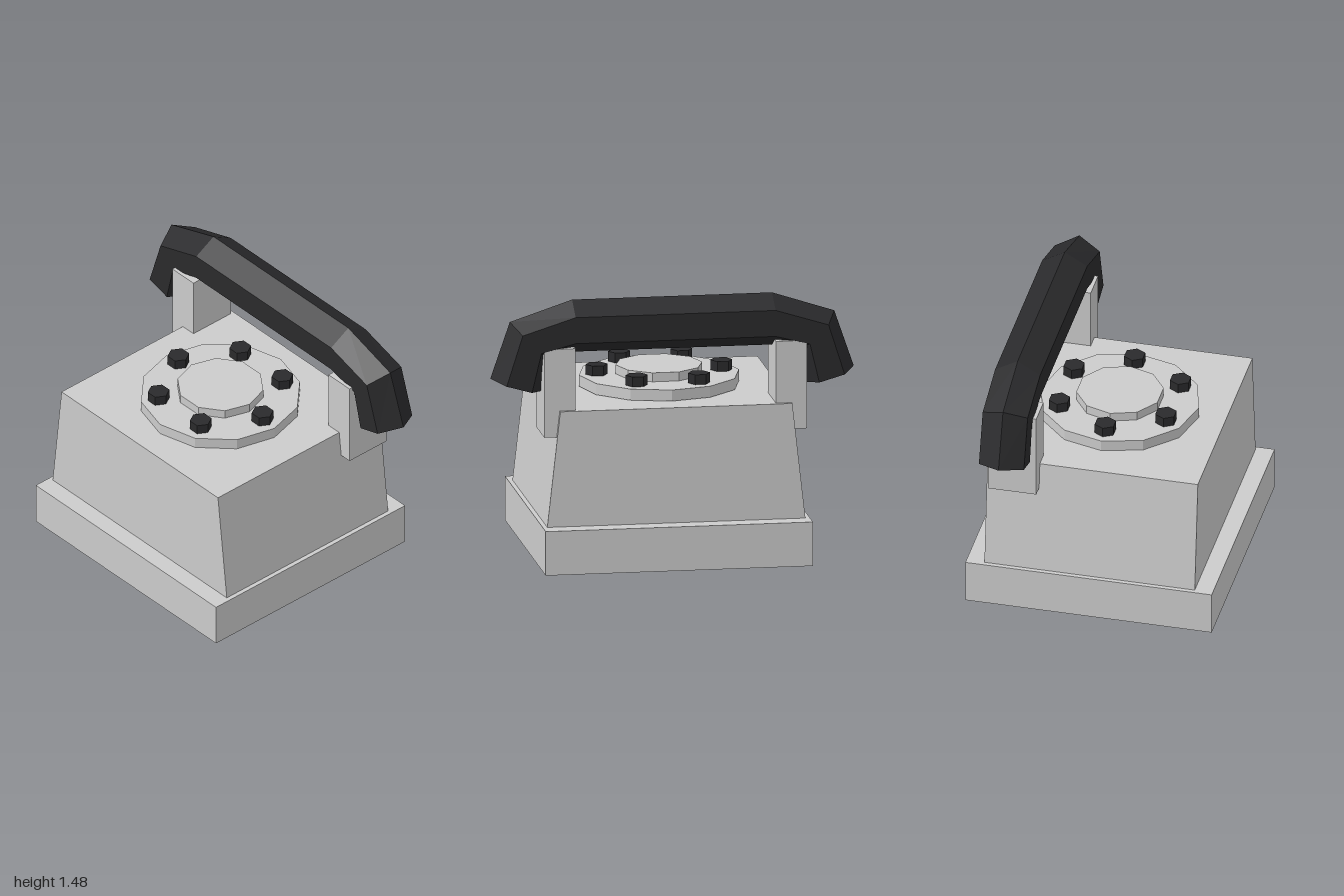
import * as THREE from 'three';

const grey = new THREE.MeshStandardMaterial({ color: 0xcccccc, flatShading: true });
const black = new THREE.MeshStandardMaterial({ color: 0x2a2a2c, flatShading: true });

function add(parent, name, geometry, material, x = 0, y = 0, z = 0) {
  const mesh = new THREE.Mesh(geometry, material);
  mesh.name = name;
  mesh.position.set(x, y, z);
  parent.add(mesh);
  return mesh;
}

// Hexagonal bar swept through mitred cross-sections, closed at both ends
function handsetGeometry() {
  const sides = 6, radius = 0.145, zCentre = -0.44;
  // centre x, centre y, outward direction of the upper corner
  const half = [
    [0.55, 1.33, 0, 1],
    [0.79, 1.26, Math.SQRT1_2, Math.SQRT1_2],
    [0.86, 1.012, 0.962, 0.275],
  ];
  const sections = [...half.map(([x, y, u, v]) => [-x, y, -u, v]).reverse(), ...half];
  const points = [], index = [];
  for (const [x, y, u, v] of sections) {
    for (let k = 0; k < sides; k++) {
      const a = (k / sides) * Math.PI * 2;
      const c = Math.cos(a) * radius;
      points.push(x + u * c, y + v * c, zCentre + Math.sin(a) * radius);
    }
  }
  const last = (sections.length - 1) * sides;
  for (let s = 0; s < last; s += sides) {
    for (let k = 0; k < sides; k++) {
      const n = (k + 1) % sides;
      const a = s + k, b = s + n, c = b + sides, d = a + sides;
      index.push(a, b, c, a, c, d);
    }
  }
  for (let k = 1; k < sides - 1; k++) {
    index.push(0, k + 1, k, last, last + k, last + k + 1);
  }
  const geometry = new THREE.BufferGeometry();
  geometry.setAttribute('position', new THREE.Float32BufferAttribute(points, 3));
  geometry.setIndex(index);
  const flat = geometry.toNonIndexed();
  flat.computeVertexNormals();
  return flat;
}

export function createModel() {
  const phone = new THREE.Group();
  phone.name = 'telephone';

  // Plinth
  add(phone, 'base', new THREE.BoxGeometry(1.47, 0.245, 1.375), grey, 0, 0.1225, 0);

  // Body, tapering only at its sides
  const profile = new THREE.Shape([
    new THREE.Vector2(-0.71, 0.245),
    new THREE.Vector2(0.71, 0.245),
    new THREE.Vector2(0.638, 0.886),
    new THREE.Vector2(-0.638, 0.886),
  ]);
  const body = new THREE.ExtrudeGeometry(profile, { depth: 1.174, bevelEnabled: false });
  add(phone, 'body', body, grey, 0, 0, -0.587);

  // Dial plate, hub and ring of buttons
  const dial = new THREE.Group();
  dial.name = 'dial';
  phone.add(dial);
  add(dial, 'dialPlate', new THREE.CylinderGeometry(0.44, 0.44, 0.062, 12), grey, 0, 0.92, 0);
  add(dial, 'dialHub', new THREE.CylinderGeometry(0.238, 0.238, 0.052, 10, 1, false, Math.PI / 2),
    grey, 0, 0.975, 0);
  const button = new THREE.CylinderGeometry(0.06, 0.06, 0.055, 6, 1, false, Math.PI / 2);
  for (let i = 0; i < 6; i++) {
    const a = (i / 6) * Math.PI * 2;
    add(dial, 'dialButton', button, black, Math.cos(a) * 0.343, 0.982, Math.sin(a) * 0.343);
  }

  // Cradle posts and handset
  const post = new THREE.BoxGeometry(0.172, 0.49, 0.27);
  add(phone, 'leftCradle', post, grey, 0.637, 0.985, -0.43);
  add(phone, 'rightCradle', post, grey, -0.637, 0.985, -0.43);
  add(phone, 'handset', handsetGeometry(), black);

  return phone;
}
